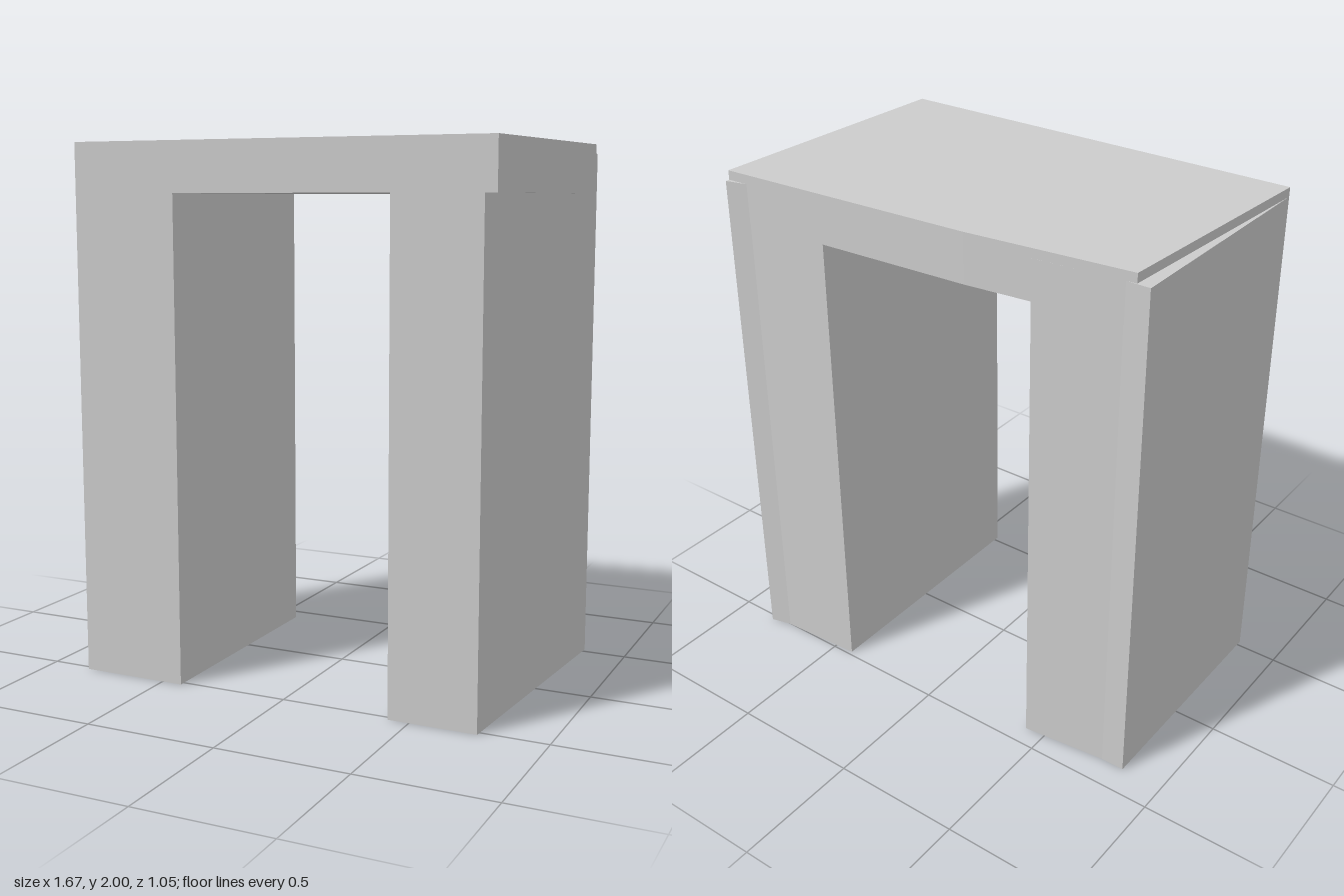
import * as THREE from 'three';

const material = new THREE.MeshStandardMaterial({ color: 0xcccccc, flatShading: true });

// Upright prism over a plan outline of [x, z] corners
function prism(name, outline, bottom, top) {
  const shape = new THREE.Shape(outline.map(([x, z]) => new THREE.Vector2(x, -z)));
  const geometry = new THREE.ExtrudeGeometry(shape, { depth: top - bottom, bevelEnabled: false });
  geometry.rotateX(-Math.PI / 2).translate(0, bottom, 0);
  const mesh = new THREE.Mesh(geometry, material);
  mesh.name = name;
  return mesh;
}

export function createModel() {
  const group = new THREE.Group();
  group.name = 'archway';

  // Skewed top slab with a slightly bent back edge
  group.add(prism('topSlab', [
    [-0.835, 0.522], [0.793, 0.522], [0.832, -0.508], [-0.17, -0.45], [-0.785, -0.385],
  ], 1.815, 2));

  // Legs rise into the slab and stop just below its top, leaving small ledges
  group.add(prism('rightLeg', [
    [-0.835, 0.522], [-0.42, 0.522], [-0.42, -0.424], [-0.745, -0.389], [-0.835, -0.389],
  ], 0, 1.965));
  group.add(prism('leftLeg', [
    [0.42, 0.522], [0.75, 0.522], [0.833, -0.524], [0.75, -0.503], [0.42, -0.484],
  ], 0, 1.965));

  return group;
}
